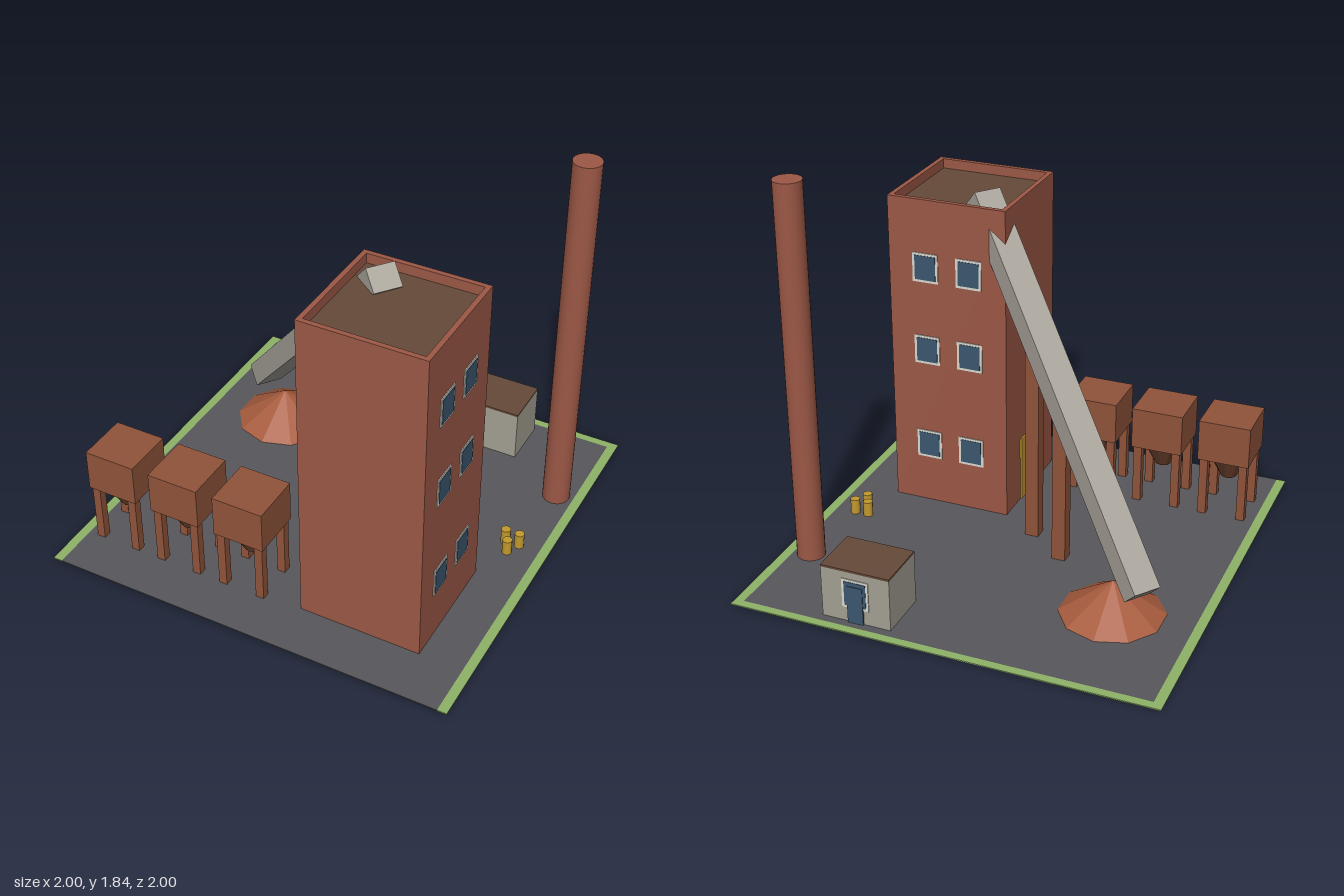
import * as THREE from 'three';

const mat = (color, flat = false) => new THREE.MeshStandardMaterial({ color, flatShading: flat });
const M = {
  grass: mat(0x8fb368), yard: mat(0x58585c), brick: mat(0x9c5846), roof: mat(0x664a3a),
  rust: mat(0x90543a), hopper: mat(0x70432f, true), pile: mat(0xa85c3e, true), metal: mat(0xaaa59b),
  frame: mat(0xd8d8d0), glass: mat(0x3c566e), yellow: mat(0xc39a2e), concrete: mat(0xa39f93),
};

function add(parent, name, geometry, material, x = 0, y = 0, z = 0) {
  const mesh = new THREE.Mesh(geometry, material);
  mesh.name = name;
  mesh.position.set(x, y, z);
  parent.add(mesh);
  return mesh;
}

// Box given by its centre in x and z and its bottom in y
const box = (parent, name, material, w, h, d, x, y, z) =>
  add(parent, name, new THREE.BoxGeometry(w, h, d), material, x, y + h / 2, z);

const cylinder = (parent, name, material, rTop, rBottom, h, sides, x, y, z) =>
  add(parent, name, new THREE.CylinderGeometry(rTop, rBottom, h, sides), material, x, y + h / 2, z);

// Framed window facing +z before it is turned
function addWindow(parent, x, y, z, turn) {
  const g = new THREE.Group();
  g.name = 'window';
  add(g, 'windowFrame', new THREE.BoxGeometry(0.128, 0.144, 0.008), M.frame);
  add(g, 'windowPane', new THREE.BoxGeometry(0.104, 0.12, 0.012), M.glass);
  g.position.set(x, y, z);
  g.rotation.y = turn;
  parent.add(g);
}

function createGround() {
  const g = new THREE.Group();
  g.name = 'ground';
  box(g, 'yard', M.yard, 1.91, 0.006, 1.96, 0, 0, 0.02);
  for (const s of [-1, 1]) box(g, 'sideVerge', M.grass, 0.045, 0.006, 2, s * 0.9775, 0, 0);
  box(g, 'backVerge', M.grass, 1.91, 0.006, 0.04, 0, 0, -0.98);
  return g;
}

function createTower() {
  const g = new THREE.Group();
  g.name = 'tower';
  const c = 0.4575, w = 0.585, t = 0.024, h = 1.51;
  box(g, 'towerWalls', M.brick, w, h, w, c, 0, c);
  box(g, 'towerRoof', M.roof, w - 2 * t, 0.008, w - 2 * t, c, h, c);
  // Parapet round the roof
  for (const s of [-1, 1]) {
    box(g, 'parapet', M.brick, w, 0.055, t, c, h, c + s * (w - t) / 2);
    box(g, 'parapet', M.brick, t, 0.055, w - 2 * t, c + s * (w - t) / 2, h, c);
  }
  // Windows on the +x and back walls
  for (const y of [0.315, 0.817, 1.233]) {
    for (const s of [-1, 1]) {
      addWindow(g, c + w / 2, y, c + s * 0.109, Math.PI / 2);
      addWindow(g, c + s * 0.109, y, c - w / 2, Math.PI);
    }
  }
  box(g, 'towerDoor', M.yellow, 0.016, 0.335, 0.24, 0.165, 0, 0.455);
  return g;
}

function createConveyor() {
  const g = new THREE.Group();
  g.name = 'conveyor';
  const t = 0.11, width = 0.132;
  // Middle of the upper face at both ends
  const low = new THREE.Vector3(-0.775, 0.22, -0.52);
  const high = new THREE.Vector3(0.307, 1.605, 0.295);
  const along = high.clone().sub(low);
  const length = along.length();
  along.normalize();
  const side = new THREE.Vector3().crossVectors(new THREE.Vector3(0, 1, 0), along).normalize();
  const up = new THREE.Vector3().crossVectors(along, side);
  const gallery = add(g, 'conveyorGallery', new THREE.BoxGeometry(width, t, length), M.metal);
  gallery.quaternion.setFromRotationMatrix(new THREE.Matrix4().makeBasis(side, up, along));
  gallery.position.copy(low).add(high).multiplyScalar(0.5).addScaledVector(up, -t / 2);
  // Support posts
  box(g, 'conveyorPost', M.rust, 0.065, 1.045, 0.065, -0.017, 0, 0.067);
  box(g, 'conveyorPost', M.rust, 0.065, 0.79, 0.065, -0.21, 0, -0.082);
  return g;
}

function createBin(x) {
  const g = new THREE.Group();
  g.name = 'storageBin';
  box(g, 'binBody', M.rust, 0.25, 0.205, 0.25, 0, 0.3, 0);
  cylinder(g, 'binHopper', M.hopper, 0.105, 0.04, 0.12, 10, 0, 0.18, 0);
  for (const sx of [-1, 1])
    for (const sz of [-1, 1]) box(g, 'binLeg', M.rust, 0.04, 0.3, 0.04, sx * 0.096, 0, sz * 0.096);
  g.position.set(x, 0, 0.66);
  return g;
}

function createShed() {
  const g = new THREE.Group();
  g.name = 'shed';
  box(g, 'shedWalls', M.concrete, 0.33, 0.255, 0.25, 0.415, 0, -0.795);
  box(g, 'shedRoof', M.roof, 0.33, 0.01, 0.25, 0.415, 0.255, -0.795);
  addWindow(g, 0.415, 0.15, -0.92, Math.PI);
  box(g, 'shedDoor', M.glass, 0.075, 0.19, 0.018, 0.415, 0, -0.92);
  return g;
}

export function createModel() {
  const model = new THREE.Group();
  model.name = 'processingPlant';
  model.add(createGround(), createTower(), createConveyor(), createShed());
  for (const x of [-0.793, -0.46, -0.127]) model.add(createBin(x));

  cylinder(model, 'chimney', M.brick, 0.066, 0.066, 1.84, 24, 0.87, 0, -0.5);
  add(model, 'orePile', new THREE.ConeGeometry(0.25, 0.17, 10), M.pile, -0.585, 0.085, -0.42);
  for (const [x, z] of [[0.787, -0.085], [0.855, -0.085], [0.822, -0.02]])
    cylinder(model, 'barrel', M.yellow, 0.023, 0.023, 0.08, 12, x, 0, z);
  return model;
}
